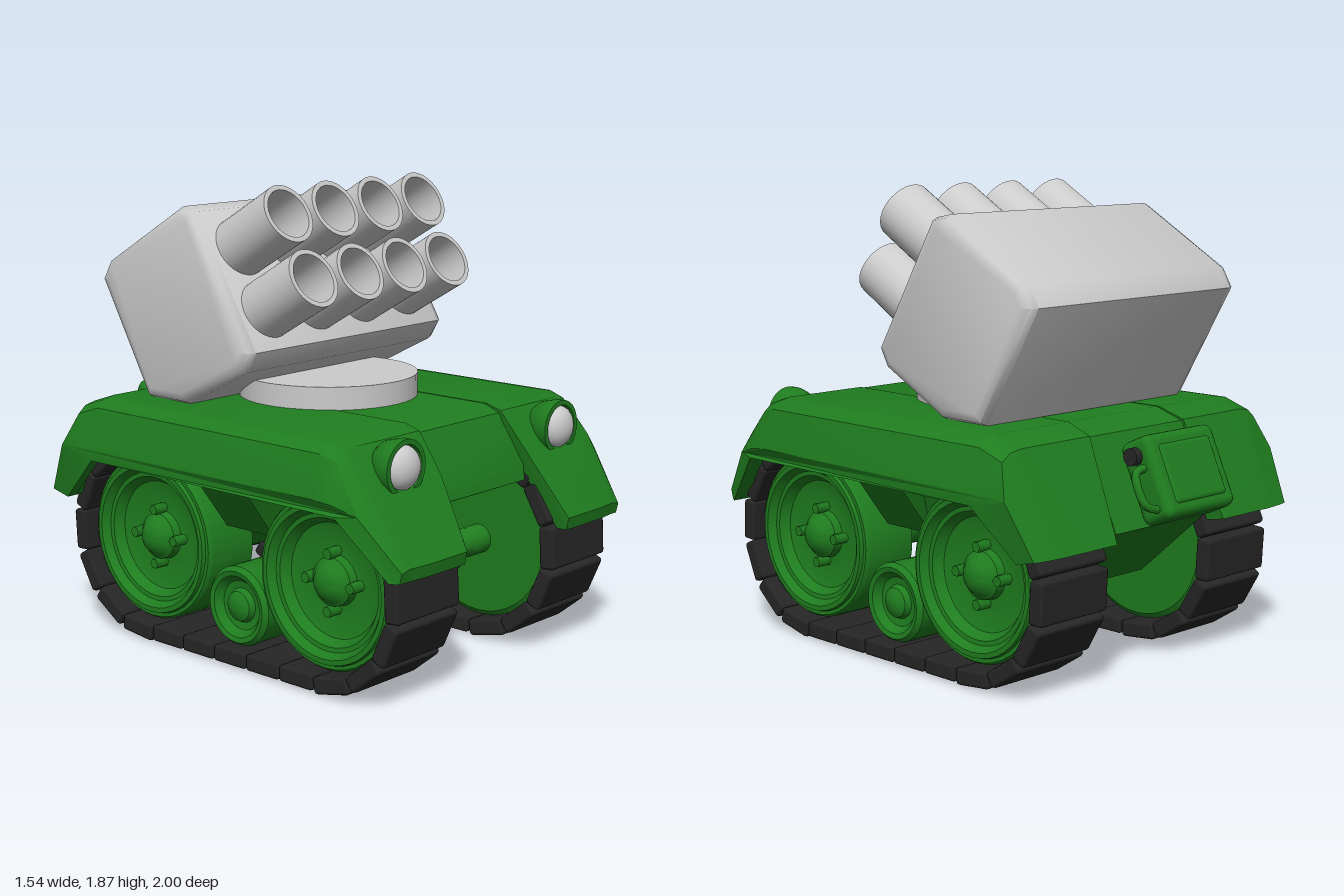
import * as THREE from 'three';
import { toCreasedNormals } from 'three/addons/utils/BufferGeometryUtils.js';
import { RoundedBoxGeometry } from 'three/addons/geometries/RoundedBoxGeometry.js';

const green = new THREE.MeshStandardMaterial({ color: 0x1f7d1f });
const black = new THREE.MeshStandardMaterial({ color: 0x262626 });
const grey = new THREE.MeshStandardMaterial({ color: 0xcccccc });

function add(parent, name, geometry, material, x = 0, y = 0, z = 0) {
  const mesh = new THREE.Mesh(geometry, material);
  mesh.name = name;
  mesh.position.set(x, y, z);
  parent.add(mesh);
  return mesh;
}

function named(parent, name) {
  const group = new THREE.Group();
  group.name = name;
  parent.add(group);
  return group;
}

// Side profile of [z, y] points, extruded across x and centred
function slab(points, width, bevel = 0, crease = 0.5) {
  const shape = new THREE.Shape(points.map(p => new THREE.Vector2(p[0], p[1])));
  const geo = new THREE.ExtrudeGeometry(shape, {
    depth: width - 2 * bevel, bevelEnabled: bevel > 0, bevelSize: bevel,
    bevelThickness: bevel, bevelOffset: -bevel, bevelSegments: 2,
  });
  geo.translate(0, 0, -(width - 2 * bevel) / 2).rotateY(-Math.PI / 2);
  return toCreasedNormals(geo, crease);
}

function lathe(points, segments = 32) {
  const geo = new THREE.LatheGeometry(points.map(p => new THREE.Vector2(p[0], p[1])), segments);
  return toCreasedNormals(geo, 0.6);
}

// Skin over loops of [x, y, z] points ordered along +x, closed at both ends
function loft(loops) {
  const n = loops[0].length, index = [];
  for (let s = 0; s < loops.length - 1; s++) {
    for (let i = 0; i < n; i++) {
      const a = s * n + i, b = s * n + (i + 1) % n;
      index.push(a, a + n, b, b, a + n, b + n);
    }
  }
  const cap = l => THREE.ShapeUtils.triangulateShape(l.map(p => new THREE.Vector2(p[2], p[1])), []);
  const last = (loops.length - 1) * n;
  cap(loops[0]).forEach(t => index.push(t[0], t[1], t[2]));
  cap(loops[loops.length - 1]).forEach(t => index.push(last + t[0], last + t[2], last + t[1]));
  const geo = new THREE.BufferGeometry();
  geo.setAttribute('position', new THREE.Float32BufferAttribute(loops.flat(2), 3));
  geo.setIndex(index);
  return toCreasedNormals(geo, 0.5);
}

// Fender: flat top, rounded shoulder, outer side and a hollow underside
function fenderGeometry() {
  const upper = [[0.99, 0.52], [1, 0.57], [0.83, 0.82], [0.71, 0.97], [0.64, 0.99],
    [-0.58, 0.99], [-0.7, 0.95], [-0.88, 0.57]];
  const low = [[0.98, 0.52], [0.99, 0.56], [0.83, 0.75], [0.73, 0.78], [0.64, 0.79],
    [-0.6, 0.79], [-0.75, 0.78], [-0.86, 0.57]];
  const arch = [[-0.77, 0.55], [-0.65, 0.84], [0.71, 0.84], [0.945, 0.52]];
  const lip = [[-0.77, 0.55], [-0.57, 0.74], [0.74, 0.74], [0.945, 0.52]];
  const shoulder = upper.map(p => [p[0] * 0.99, p[1] > 0.9 ? p[1] - 0.04 : p[1]]);
  const inner = [0.32, 0.32, 0.265, 0.25, 0.25, 0.26, 0.27, 0.31, 0.31, 0.28, 0.28, 0.32];
  const outer = [0.68, 0.68, 0.74, 0.76, 0.77, 0.77, 0.77, 0.73, 0.73, 0.77, 0.765, 0.7];
  const at = (pts, xs) => pts.map((p, i) => [xs[i], p[1], p[0]]);
  const inset = d => outer.map(x => x - d);
  return loft([
    at([...upper, ...arch], inner),
    at([...upper, ...arch], inset(0.14)),
    at([...upper.map((p, i) => [(p[0] + shoulder[i][0]) / 2, p[1] - (p[1] > 0.9 ? 0.01 : 0)]), ...arch], inset(0.085)),
    at([...shoulder, ...lip], inset(0.045)),
    at([...low, ...lip], outer),
  ]);
}

// Road wheel: dish with stepped rim, domed hub and four bolts
function wheel(parent, z) {
  const g = named(parent, 'roadWheel');
  g.position.set(0, 0.415, z);
  add(g, 'wheelDisc', lathe([[0, 0.34], [0.32, 0.34], [0.34, 0.355], [0.34, 0.58], [0.33, 0.595],
    [0.315, 0.595], [0.31, 0.61], [0.29, 0.61], [0.268, 0.58], [0.25, 0.578], [0.225, 0.54],
    [0.15, 0.52], [0.1, 0.525], [0.095, 0.56], [0.08, 0.57], [0.06, 0.595], [0.03, 0.608],
    [0, 0.61]], 40), green).rotation.z = -Math.PI / 2;
  for (let i = 0; i < 4; i++) {
    const a = i * Math.PI / 2;
    add(g, 'wheelBolt', new THREE.CylinderGeometry(0.022, 0.022, 0.07, 6), green,
      0.55, Math.cos(a) * 0.113, Math.sin(a) * 0.113).rotation.z = -Math.PI / 2;
  }
}

// Links spaced evenly round two half circles and two straights
function track(parent) {
  const g = named(parent, 'track');
  const r = 0.378, front = 0.535, rear = -0.41, cy = 0.412, count = 24;
  const run = front - rear, arc = Math.PI * r, total = 2 * (run + arc);
  const link = new RoundedBoxGeometry(0.36, 0.068, 0.172, 1, 0.014);
  for (let i = 0; i < count; i++) {
    let d = (i + 0.78) * total / count, y, z, a;
    if (d < run) { z = rear + d; y = cy - r; a = 0; }
    else if (d < run + arc) {
      a = (d - run) / r;
      z = front + r * Math.sin(a); y = cy - r * Math.cos(a);
    } else if (d < 2 * run + arc) { z = front - (d - run - arc); y = cy + r; a = Math.PI; }
    else {
      a = Math.PI + (d - 2 * run - arc) / r;
      z = rear + r * Math.sin(a); y = cy - r * Math.cos(a);
    }
    add(g, 'trackLink', link, black, 0.472, y, z).rotation.x = -a;
  }
}

function sideParts() {
  const side = new THREE.Group();
  add(side, 'fender', fenderGeometry(), green);
  track(side);
  wheel(side, 0.545);
  wheel(side, -0.41);
  add(side, 'rearAxleStub', new THREE.CylinderGeometry(0.055, 0.055, 0.14, 20), green, 0.29, 0.4, -0.41)
    .rotation.z = Math.PI / 2;
  // Small roller between the wheels
  add(side, 'roller', lathe([[0, 0.35], [0.15, 0.35], [0.162, 0.37], [0.162, 0.57], [0.145, 0.59],
    [0.125, 0.585], [0.1, 0.555], [0.07, 0.55], [0.06, 0.575], [0.035, 0.59], [0, 0.595]]),
  green, 0, 0.22, 0.065).rotation.z = -Math.PI / 2;
  // Wedge between the wheels, its outer face sloping in towards the bottom
  const wedge = (x, y) => [[x, y, 0.19], [x, 0.86, 0.28], [x, 0.86, -0.16], [x, y, -0.07]];
  add(side, 'wheelBracket', loft([wedge(0.27, 0.51), wedge(0.5, 0.51), wedge(0.66, 0.72)]), green);
  // Headlight: domed housing facing forward with a round lamp
  add(side, 'headlightHousing', lathe([[0, -0.15], [0.06, -0.135], [0.095, -0.09], [0.11, -0.03],
    [0.11, 0], [0.09, 0], [0.085, -0.03], [0, -0.03]]), green, 0.48, 0.885, 0.84).rotation.x = Math.PI / 2;
  add(side, 'headlightLamp', new THREE.SphereGeometry(0.086, 24, 16), grey, 0.48, 0.885, 0.815)
    .scale.z = 0.72;
  return side;
}

function frontAxle(parent) {
  const g = named(parent, 'frontAxle');
  g.position.set(0, 0.4, 0.545);
  add(g, 'axleShaft', lathe([[0, -0.36], [0.06, -0.36], [0.06, -0.25], [0.05, -0.23], [0.05, 0.23],
    [0.06, 0.25], [0.06, 0.36], [0, 0.36]], 20), green).rotation.z = Math.PI / 2;
  add(g, 'differential', lathe([[0, -0.16], [0.07, -0.16], [0.09, -0.14], [0.1, -0.11], [0.1, 0.11],
    [0.09, 0.14], [0.07, 0.16], [0, 0.16]], 24), green).rotation.z = Math.PI / 2;
}

// Launcher box tilted back, with two rows of four open tubes
function launcher(parent) {
  const g = named(parent, 'launcher');
  add(g, 'launcherBox', slab([[0.1, 1.155], [0.145, 1.235], [-0.165, 1.755], [-0.245, 1.77],
    [-0.65, 1.535], [-0.7, 1.45], [-0.435, 0.99], [-0.22, 0.99]], 1.18, 0.045, 1), grey);
  const tube = lathe([[0.12, 0], [0.12, 0.33], [0.1, 0.33], [0.1, 0.05], [0, 0.05]]);
  for (const [y, z] of [[1.76, 0.18], [1.525, 0.31]]) {
    for (let i = 0; i < 4; i++) {
      add(g, 'launchTube', tube, grey, (i - 1.5) * 0.267, y - 0.33 * 0.5, z - 0.33 * 0.866)
        .rotation.x = Math.PI / 3;
    }
  }
}

// Fuel can leaning on the rear plate, with cap and handle
function fuelCan(parent) {
  const g = named(parent, 'fuelCan');
  g.position.set(-0.04, 0.785, -0.872);
  g.rotation.x = 0.43;
  add(g, 'canBody', new RoundedBoxGeometry(0.395, 0.33, 0.155, 2, 0.035), green);
  add(g, 'canPanel', new RoundedBoxGeometry(0.3, 0.24, 0.17, 2, 0.02), green);
  add(g, 'canCap', new THREE.CylinderGeometry(0.034, 0.034, 0.06, 16), black, 0.2, 0.1, 0)
    .rotation.z = Math.PI / 2;
  const path = new THREE.CatmullRomCurve3([[0.18, 0.05], [0.25, 0.03], [0.25, -0.09], [0.18, -0.12]]
    .map(p => new THREE.Vector3(p[0], p[1], -0.02)));
  add(g, 'canHandle', new THREE.TubeGeometry(path, 16, 0.016, 8), green);
}

export function createModel() {
  const model = new THREE.Group();
  model.name = 'rocketVehicle';
  // Central hull: sloped nose, sloped rear plate and a belly deepest over the rear axle
  add(model, 'hull', slab([[0.62, 0.62], [0.81, 0.7], [0.8, 0.76], [0.7, 0.96], [0.63, 0.988],
    [-0.57, 0.988], [-0.69, 0.945], [-0.85, 0.6], [-0.8, 0.58], [-0.48, 0.3], [-0.32, 0.3],
    [-0.08, 0.51], [0.3, 0.51]], 0.57), green);
  const left = sideParts(), right = sideParts();
  left.name = 'leftSide';
  right.name = 'rightSide';
  right.scale.x = -1;
  model.add(left, right);
  frontAxle(model);
  add(model, 'turretRing', new THREE.CylinderGeometry(0.365, 0.365, 0.13, 40), grey, 0, 1.015, 0.02);
  launcher(model);
  fuelCan(model);
  return model;
}
